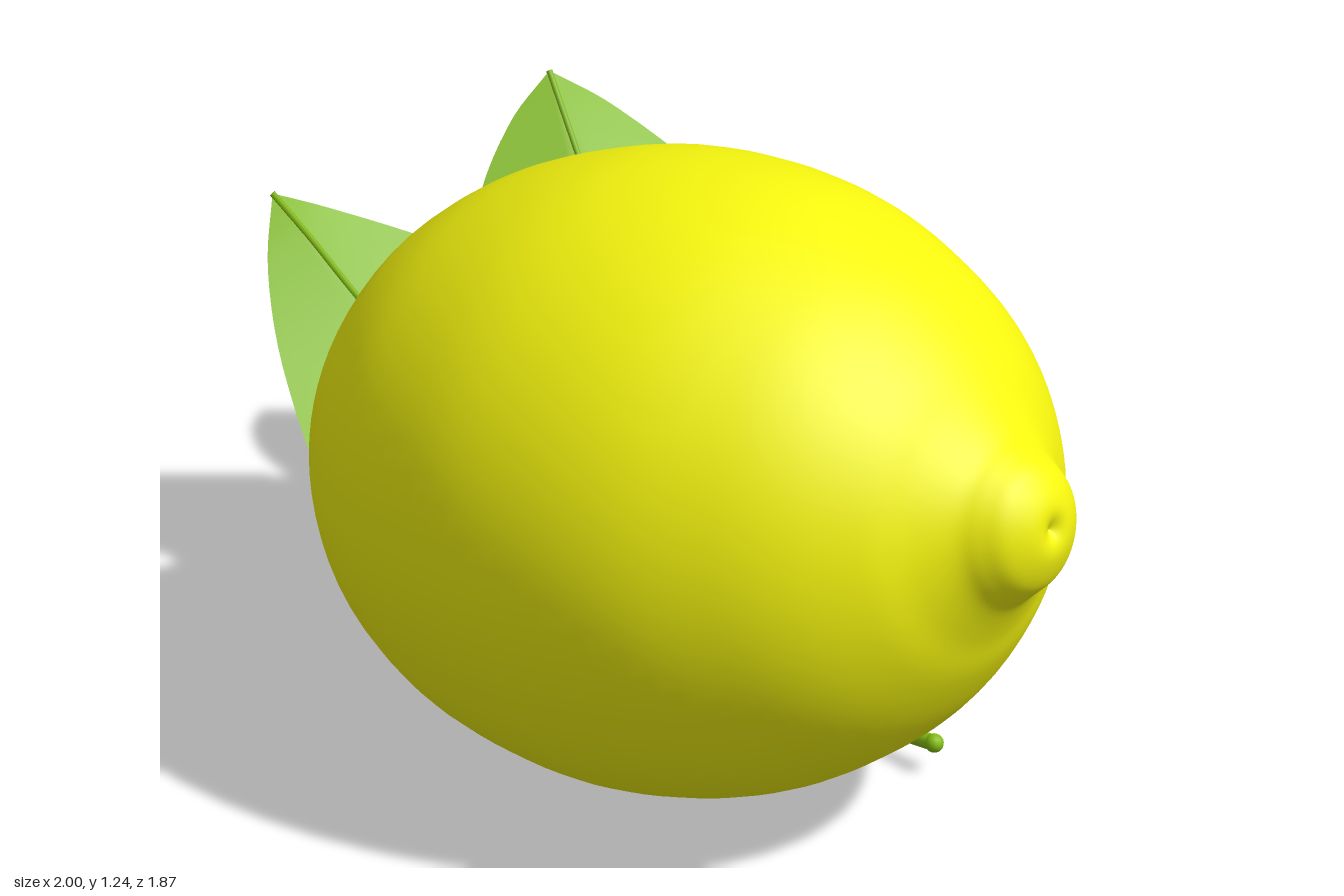
import * as THREE from 'three';

const lemonMaterial = new THREE.MeshStandardMaterial({ color: 0xf5f50f });
const leafMaterial = new THREE.MeshStandardMaterial({ color: 0x84bd12, side: THREE.DoubleSide });

const curve = (points) => new THREE.CatmullRomCurve3(points.map((p) => new THREE.Vector3(...p)));

function part(name, geometry, material) {
  const mesh = new THREE.Mesh(geometry, material);
  mesh.name = name;
  return mesh;
}

// Fruit: a lathed profile of [distance along axis, radius], tilted onto its axis
function makeFruit() {
  const profile = [
    [-0.883, 0], [-0.873, 0.05], [-0.84, 0.1], [-0.8, 0.132], [-0.76, 0.178], [-0.725, 0.24],
    [-0.66, 0.335], [-0.56, 0.43], [-0.45, 0.505], [-0.28, 0.575], [-0.05, 0.615], [0.15, 0.605],
    [0.33, 0.56], [0.49, 0.48], [0.6, 0.4], [0.69, 0.3], [0.74, 0.22], [0.785, 0.16],
    [0.82, 0.133], [0.855, 0.105], [0.88, 0.06], [0.884, 0.028], [0.87, 0],
  ].map(([s, r]) => new THREE.Vector2(r, s));
  const points = new THREE.SplineCurve(profile).getPoints(110);
  points.forEach((p) => { p.x = Math.max(p.x, 0); });
  const fruit = part('fruit', new THREE.LatheGeometry(points, 72), lemonMaterial);
  const axis = new THREE.Vector3(1.65, 0.28, 0.56).normalize();
  fruit.quaternion.setFromUnitVectors(new THREE.Vector3(0, 1, 0), axis);
  fruit.position.set(0.155, 0.63, 0.295);
  return fruit;
}

// Leaf blade: a grid lofted from one edge over the midrib to the other edge
function makeBlade(lowEdge, rib, outerEdge) {
  const geometry = new THREE.PlaneGeometry(2, 1, 16, 40);
  const position = geometry.attributes.position;
  const p = new THREE.Vector3();
  for (let i = 0; i < position.count; i++) {
    const across = position.getX(i);
    const along = THREE.MathUtils.clamp(position.getY(i) + 0.5, 0, 1);
    const edge = across < 0 ? lowEdge : outerEdge;
    p.copy(rib.getPoint(along)).lerp(edge.getPoint(along), Math.abs(across));
    position.setXYZ(i, p.x, p.y, p.z);
  }
  geometry.computeVertexNormals();
  return geometry;
}

// Leaf with its midrib and stalk; all three curves run from base to tip
function makeLeaf(name, lowPoints, ribPoints, outerPoints, stalkPoints) {
  const base = ribPoints[0];
  const tip = ribPoints[ribPoints.length - 1];
  const rib = curve(ribPoints);
  const leaf = new THREE.Group();
  leaf.name = name;
  leaf.add(
    part('blade', makeBlade(curve([base, ...lowPoints, tip]), rib, curve([base, ...outerPoints, tip])), leafMaterial),
    part('midrib', new THREE.TubeGeometry(rib, 40, 0.007, 6), leafMaterial),
    part('stalk', new THREE.TubeGeometry(curve([...stalkPoints, base, ribPoints[1]]), 24, 0.016, 10), leafMaterial),
  );
  // Cut end of the stalk
  const cut = part('stalkEnd', new THREE.SphereGeometry(0.019, 12, 8), leafMaterial);
  cut.position.set(...stalkPoints[0]);
  leaf.add(cut);
  return leaf;
}

export function createModel() {
  const model = new THREE.Group();
  model.name = 'lemonWithLeaves';
  model.add(makeFruit());

  model.add(makeLeaf('innerLeaf',
    [[0.12, 0.03, 0], [-0.1, 0.015, 0.06], [-0.4, 0.08, 0.08], [-0.7, 0.25, 0.03], [-0.9, 0.5, -0.1], [-0.98, 0.7, -0.19]],
    [[0.2, 0.04, -0.02], [0.1, 0.05, -0.06], [-0.08, 0.1, -0.13], [-0.35, 0.25, -0.22], [-0.6, 0.43, -0.28],
      [-0.8, 0.6, -0.29], [-0.93, 0.75, -0.28], [-1, 0.84, -0.26]],
    [[0.2, 0.08, -0.15], [0.15, 0.22, -0.36], [0, 0.35, -0.51], [-0.35, 0.53, -0.605], [-0.7, 0.68, -0.5], [-0.92, 0.79, -0.35]],
    [[0.64, 0.075, 0.16], [0.54, 0.062, 0.115], [0.4, 0.045, 0.055]]));

  model.add(makeLeaf('outerLeaf',
    [[0.1, 0.05, -0.15], [-0.15, 0.14, -0.25], [-0.4, 0.28, -0.36], [-0.6, 0.5, -0.46], [-0.68, 0.72, -0.58], [-0.655, 0.9, -0.71]],
    [[0.24, 0.035, -0.09], [0.15, 0.06, -0.18], [0, 0.19, -0.33], [-0.2, 0.39, -0.5], [-0.36, 0.6, -0.64],
      [-0.47, 0.77, -0.72], [-0.55, 0.91, -0.77], [-0.6, 1.0, -0.8]],
    [[0.2, 0.07, -0.22], [0.16, 0.16, -0.42], [0.1, 0.3, -0.66], [0, 0.47, -0.84], [-0.22, 0.7, -0.935], [-0.48, 0.91, -0.88]],
    [[0.45, 0.03, 0.05], [0.36, 0.028, 0.01]]));

  return model;
}
